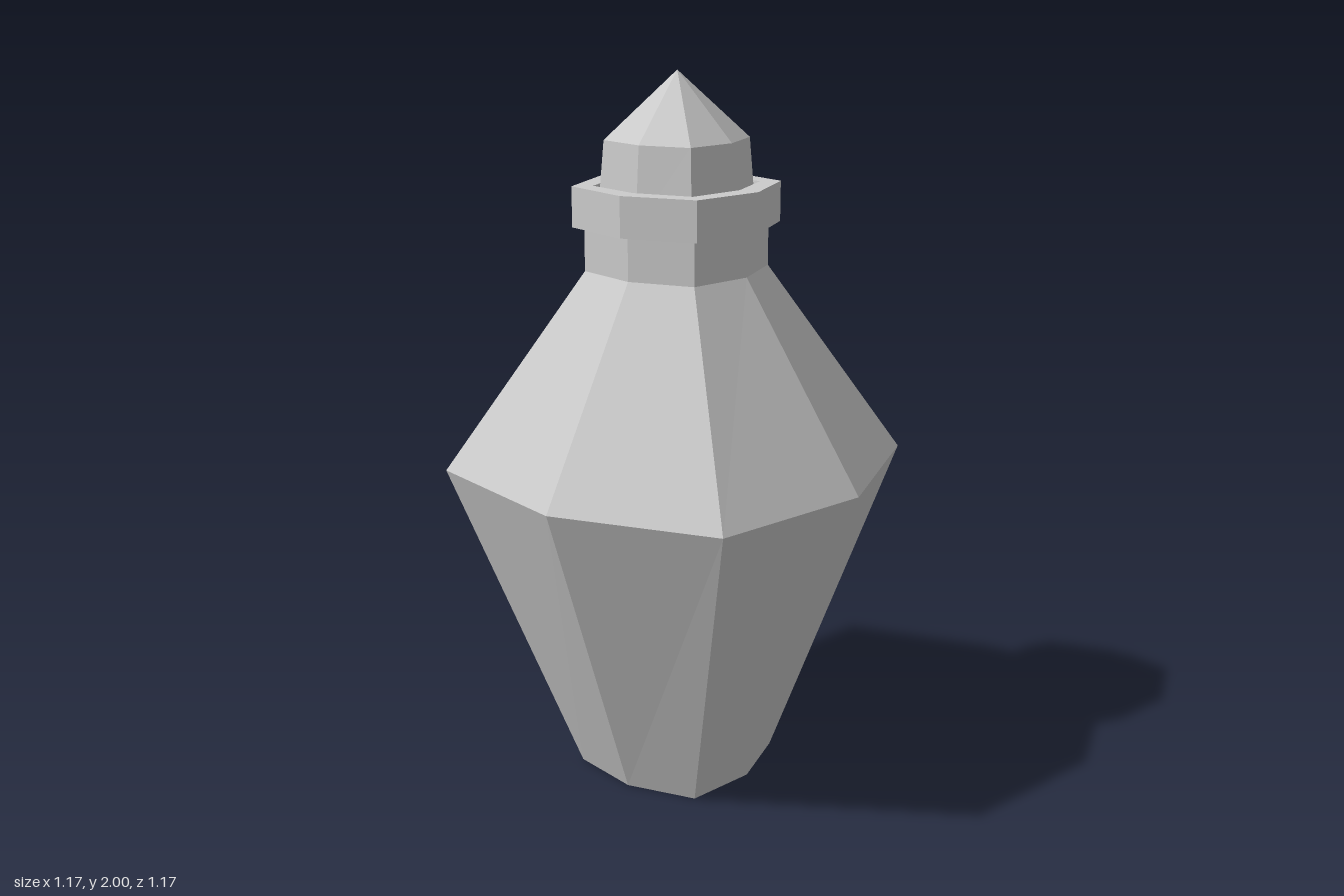
import * as THREE from 'three';

const material = new THREE.MeshStandardMaterial({ color: 0xcccccc, flatShading: true });

// Eight-sided loft. Each ring is [height, reach along the axes, x and z of the diagonal corners].
function loft(name, rings) {
  const points = [];
  const index = [];
  for (const [y, axis, corner] of rings) {
    for (let i = 0; i < 8; i++) {
      const angle = i * Math.PI / 4;
      const r = i % 2 ? corner * Math.SQRT2 : axis;
      points.push(r * Math.sin(angle), y, r * Math.cos(angle));
    }
  }
  for (let k = 0; k < rings.length - 1; k++) {
    for (let i = 0; i < 8; i++) {
      const a = k * 8 + i, b = k * 8 + (i + 1) % 8;
      // Skip the collapsed half of a quad at a closed tip
      if (rings[k][1] > 0) index.push(a, b, b + 8);
      if (rings[k + 1][1] > 0) index.push(a, b + 8, a + 8);
    }
  }
  const indexed = new THREE.BufferGeometry();
  indexed.setAttribute('position', new THREE.Float32BufferAttribute(points, 3));
  indexed.setIndex(index);
  const geometry = indexed.toNonIndexed();
  geometry.computeVertexNormals();
  const mesh = new THREE.Mesh(geometry, material);
  mesh.name = name;
  return mesh;
}

export function createModel() {
  const bottle = new THREE.Group();
  bottle.name = 'bottle';

  // Body, neck, collar and the sloping inside of the mouth
  bottle.add(loft('body', [
    [0, 0, 0],
    [0, 0.247, 0.2],
    [0.925, 0.583, 0.458],
    [1.47, 0.225, 0.179],
    [1.59, 0.225, 0.179],
    [1.59, 0.258, 0.202],
    [1.7, 0.258, 0.202],
    [1.7, 0.2, 0.161],
    [1.6, 0.187, 0.151],
    [1.6, 0, 0],
  ]));

  // Tapered stopper with a pointed top
  bottle.add(loft('stopper', [
    [1.6, 0, 0],
    [1.6, 0.19, 0.154],
    [1.82, 0.174, 0.14],
    [2, 0, 0],
  ]));

  return bottle;
}
